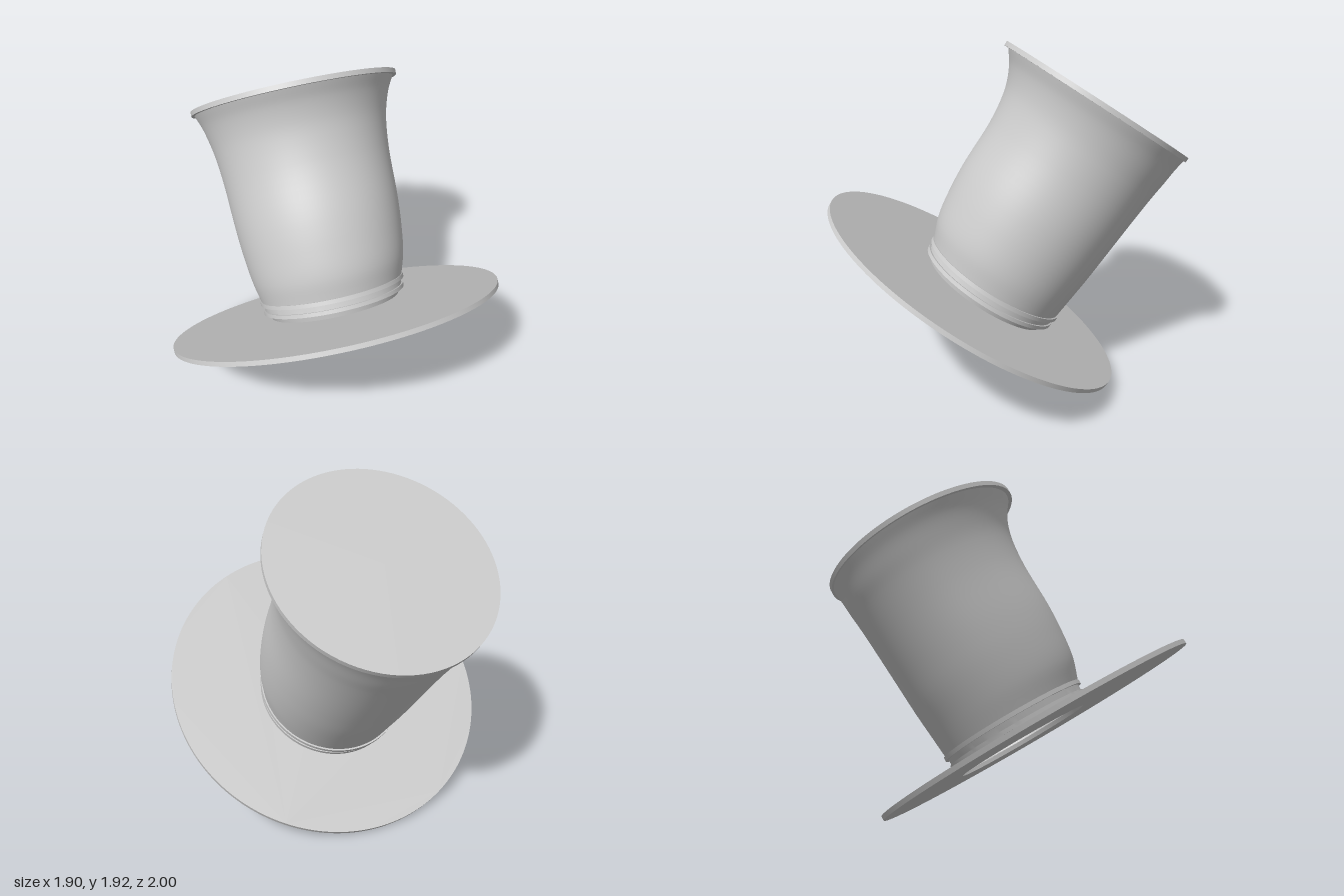
import * as THREE from 'three';
import { toCreasedNormals } from 'three/addons/utils/BufferGeometryUtils.js';

const SIDES = 96;
const OFFSET_X = 0.027; // the crown sits slightly off the brim centre
const OFFSET_Z = -0.08;

// Stacks circular sections [height, radius, centreZ] into a smooth wall
function loft(sections, steps) {
  const curve = new THREE.CatmullRomCurve3(sections.map(s => new THREE.Vector3(...s)));
  const positions = [], index = [];
  for (let j = 0; j <= steps; j++) {
    const { x: height, y: radius, z: centre } = curve.getPoint(j / steps);
    for (let i = 0; i < SIDES; i++) {
      const t = (i / SIDES) * Math.PI * 2;
      positions.push(OFFSET_X + radius * Math.cos(t), height, centre + radius * Math.sin(t));
      if (j < steps) {
        const a = j * SIDES + i, b = j * SIDES + (i + 1) % SIDES;
        index.push(a, a + SIDES, b, b, a + SIDES, b + SIDES);
      }
    }
  }
  const geometry = new THREE.BufferGeometry();
  geometry.setAttribute('position', new THREE.Float32BufferAttribute(positions, 3));
  geometry.setIndex(index);
  geometry.computeVertexNormals();
  return geometry;
}

export function createModel() {
  const felt = new THREE.MeshStandardMaterial({ color: 0xcccccc, side: THREE.DoubleSide });
  felt.name = 'light grey felt';

  const hat = new THREE.Group();
  hat.name = 'hat';
  function add(name, geometry, x = 0, y = 0, z = 0) {
    const mesh = new THREE.Mesh(geometry, felt);
    mesh.name = name;
    mesh.position.set(x, y, z);
    hat.add(mesh);
  }

  // Flat brim with an off-centre head opening
  const brimShape = new THREE.Shape().absarc(0, 0, 0.95, 0, Math.PI * 2, false);
  brimShape.holes.push(new THREE.Path().absarc(OFFSET_X, -OFFSET_Z, 0.383, 0, Math.PI * 2, true));
  const brim = new THREE.ExtrudeGeometry(brimShape, { depth: 0.025, bevelEnabled: false, curveSegments: SIDES });
  brim.rotateX(-Math.PI / 2);
  add('brim', toCreasedNormals(brim, 0.5), 0, -0.0125, 0);

  // Stepped band with two raised rings at the foot of the crown
  const bandProfile = [
    [0.383, 0.01], [0.4, 0.045], [0.423, 0.045], [0.423, 0.067], [0.413, 0.067],
    [0.416, 0.1], [0.432, 0.1], [0.432, 0.123], [0.422, 0.123],
  ].map(p => new THREE.Vector2(...p));
  add('band', toCreasedNormals(new THREE.LatheGeometry(bandProfile, SIDES), 0.4), OFFSET_X, 0, OFFSET_Z + 0.005);

  // Hollow crown, flaring towards the top
  add('crown', loft([
    [0.12, 0.424, -0.073], [0.244, 0.452, -0.055], [0.41, 0.472, -0.05], [0.578, 0.483, -0.05],
    [0.844, 0.491, -0.06], [1.0, 0.505, -0.058], [1.09, 0.521, -0.051],
    [1.18, 0.545, -0.033], [1.25, 0.574, -0.012],
  ], 40));

  // Closed lid with a small overhanging edge
  add('lid', new THREE.CylinderGeometry(0.593, 0.593, 0.026, SIDES), OFFSET_X, 1.263, -0.006);

  // Tip the whole hat backwards and a little sideways
  hat.rotation.set(-0.577, 0, 0.03, 'ZXY');
  hat.position.set(-0.002, 0.53, 0.2);

  const model = new THREE.Group();
  model.name = 'tiltedHat';
  model.add(hat);
  return model;
}
